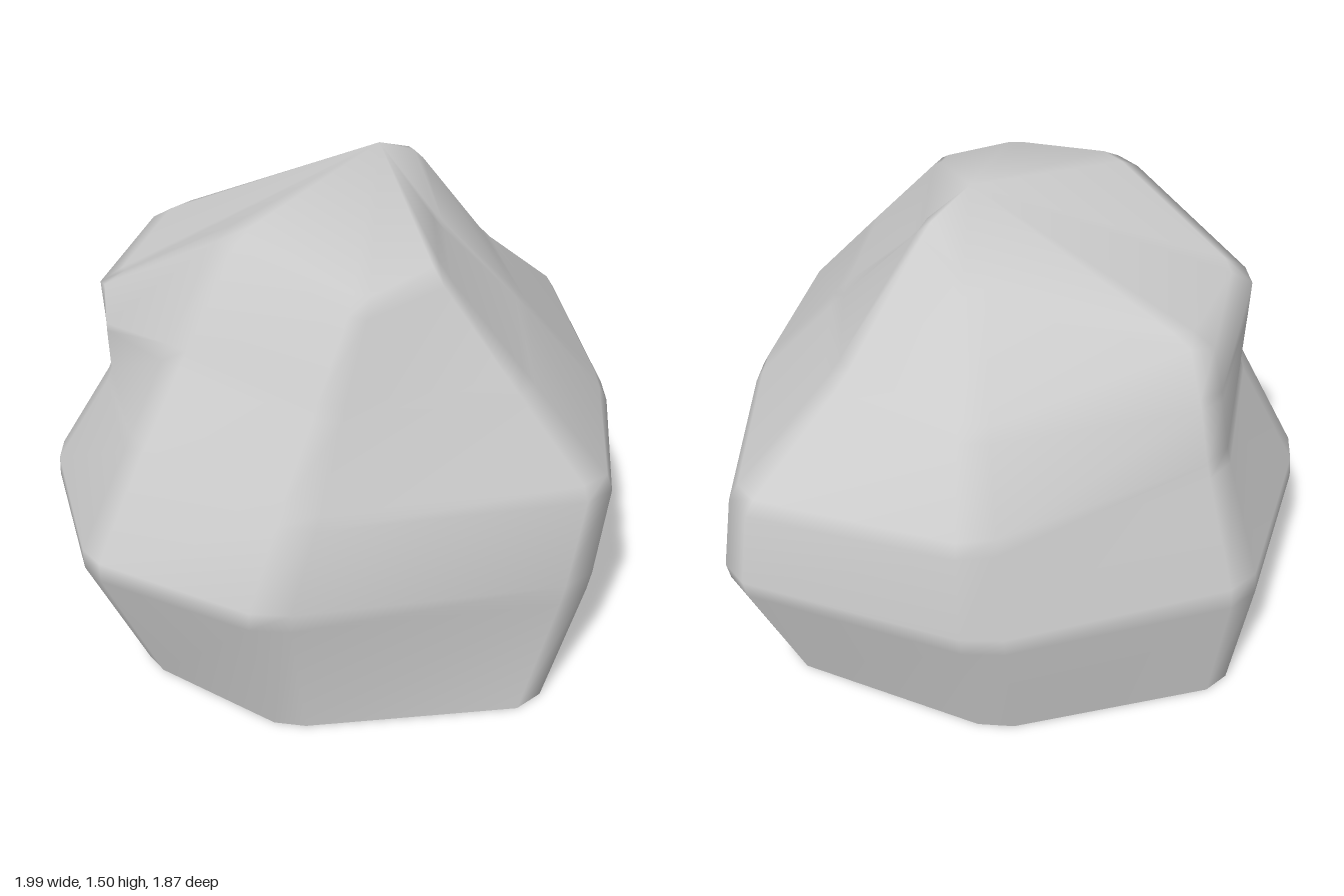
import * as THREE from 'three';
import { mergeVertices } from 'three/addons/utils/BufferGeometryUtils.js';

// Ridges of the boulder: base, belly, shoulder, neck and crown; all run on to the tip
const RIDGES = {
  plusXSide: [[0.85, 0.01, 0.02], [1.035, 0.46, 0.03], [0.99, 0.75, 0.02], [0.62, 1.05, 0], [0.28, 1.45, 0]],
  plusXFront: [[0.49, 0, 0.57], [0.59, 0.45, 0.63], [0.55, 0.72, 0.6], [0.36, 1.04, 0.38], [0.2, 1.28, 0.17]],
  front: [[-0.11, 0, 0.91], [0.03, 0.4, 0.955], [0.09, 0.74, 0.965], [-0.02, 1.04, 0.72], [-0.12, 1.33, 0.48]],
  minusXFront: [[-0.71, 0, 0.43], [-0.82, 0.5, 0.47], [-0.69, 0.77, 0.46], [-0.54, 1.05, 0.45], [-0.41, 1.31, 0.45]],
  minusXSide: [[-0.83, 0.01, -0.05], [-1.03, 0.51, -0.07], [-0.83, 0.84, -0.06], [-0.67, 1.08, -0.05], [-0.47, 1.43, 0]],
  // a shelf below an overhang
  minusXBack: [[-0.6, 0, -0.56], [-0.74, 0.48, -0.63], [-0.61, 0.85, -0.44], [-0.62, 1, -0.45], [-0.63, 1.14, -0.45]],
  back: [[-0.18, 0, -0.91], [-0.19, 0.44, -0.965], [-0.2, 0.84, -0.79], [-0.2, 1.02, -0.74], [-0.2, 1.17, -0.68]],
  plusXBack: [[0.5, 0, -0.6], [0.6, 0.47, -0.67], [0.57, 0.78, -0.61], [0.47, 1.04, -0.45], [0.28, 1.3, -0.19]],
};
const TIP = [0.12, 1.505, 0];
const BEVEL = 0.08;

// Cut every corner of a row of points into two, for soft ridges
function cutCorners(points, closed) {
  const n = points.length, out = [];
  points.forEach((p, i) => {
    if (!closed && (i === 0 || i === n - 1)) return out.push(p.clone());
    out.push(p.clone().lerp(points[(i + n - 1) % n], BEVEL), p.clone().lerp(points[(i + 1) % n], BEVEL));
  });
  return out;
}

export function createModel() {
  // Soften each ridge lengthwise, then each ring around the boulder
  const ridges = Object.values(RIDGES).map((ridge) => (
    cutCorners([...ridge, TIP].map((p) => new THREE.Vector3(...p)), false)));
  const rings = ridges[0].map((_, r) => cutCorners(ridges.map((ridge) => ridge[r]), true));
  const n = rings[0].length;

  // Skin between neighbouring rings; the last ring shrinks to the tip
  const index = [];
  for (let r = 0; r < rings.length - 1; r++) {
    for (let c = 0; c < n; c++) {
      const a = r * n + c, b = r * n + (c + 1) % n;
      index.push(a, a + n, b);
      if (r < rings.length - 2) index.push(b, a + n, b + n);
    }
  }
  const skin = new THREE.BufferGeometry().setFromPoints(rings.flat());
  skin.setIndex(index);
  const geometry = mergeVertices(skin, 1e-4);
  geometry.computeVertexNormals();

  // Hollow shell, open underneath
  const material = new THREE.MeshStandardMaterial({ color: 0xcccccc, side: THREE.DoubleSide });
  const rock = new THREE.Mesh(geometry, material);
  rock.name = 'rockShell';

  const group = new THREE.Group();
  group.name = 'rock';
  group.add(rock);
  return group;
}
